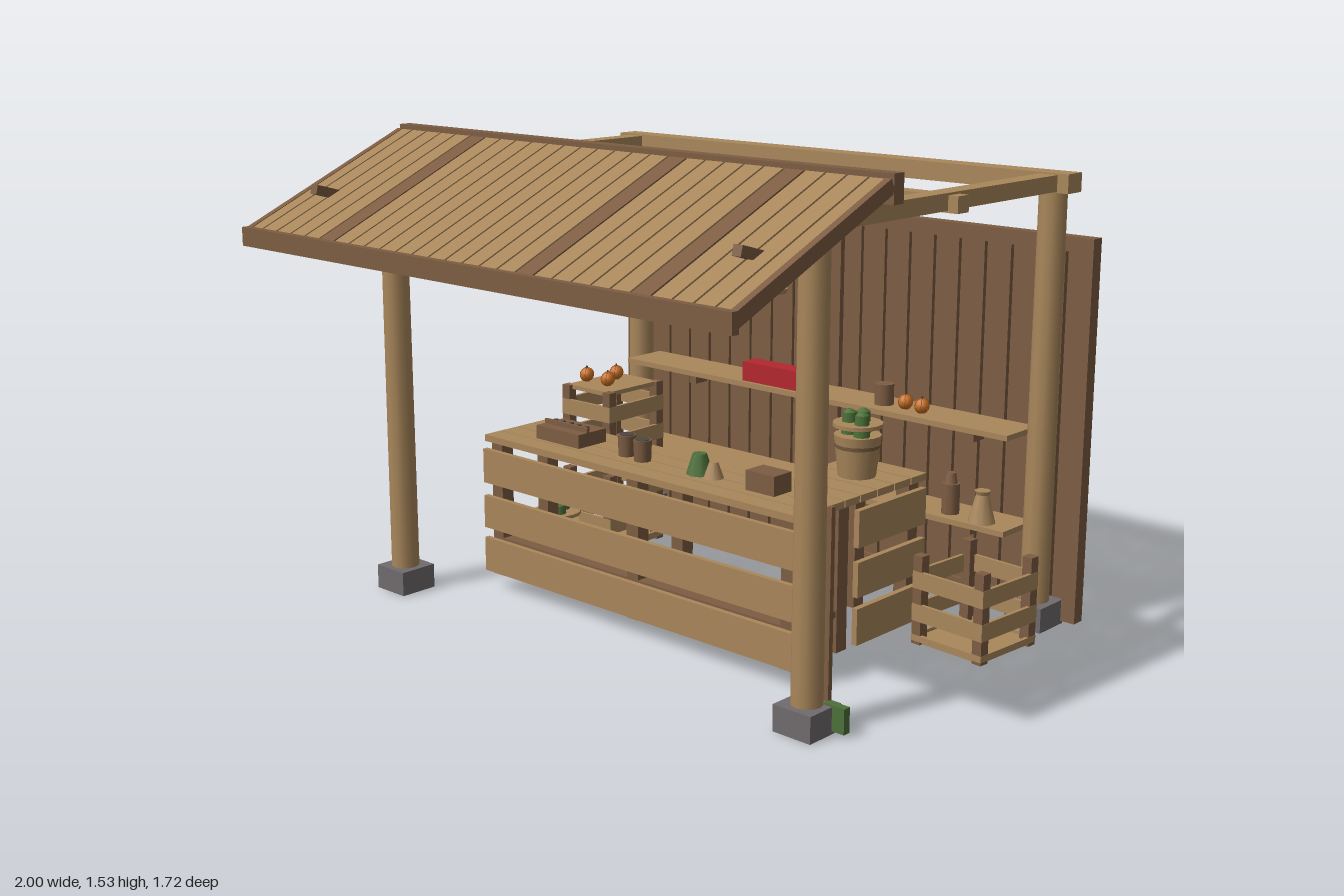
import * as THREE from 'three';

const mat = (name, color) => {
  const m = new THREE.MeshStandardMaterial({ color });
  m.name = name;
  return m;
};

export function createModel() {
  const root = new THREE.Group();
  root.name = 'marketStall';
  const tan = mat('tanWood', 0xa9875b), brown = mat('brownWood', 0x7d5d43), stone = mat('stone', 0x706b6e);
  const cloth = mat('paleCanvas', 0xa6a6a6), red = mat('red', 0xb3282e), orange = mat('orange', 0xc96f22);
  const rust = mat('rustOrange', 0xa9581c), green = mat('leafGreen', 0x4c7038), dark = mat('darkMetal', 0x4f4640);

  const add = (name, geo, m, x, y, z, parent = root) => {
    const mesh = new THREE.Mesh(geo, m);
    mesh.name = name;
    mesh.position.set(x, y, z);
    parent.add(mesh);
    return mesh;
  };
  // box given by its extents on each axis
  const box = (name, m, x0, x1, y0, y1, z0, z1, parent) =>
    add(name, new THREE.BoxGeometry(x1 - x0, y1 - y0, z1 - z0), m, (x0 + x1) / 2, (y0 + y1) / 2, (z0 + z1) / 2, parent);
  // upright tapered cylinder standing on y
  const cyl = (name, m, rTop, rBottom, h, x, y, z, parent, sides = 10) =>
    add(name, new THREE.CylinderGeometry(rTop, rBottom, h, sides), m, x, y + h / 2, z, parent);
  const group = (name, x = 0, y = 0, z = 0, parent = root) => {
    const g = new THREE.Group();
    g.name = name;
    g.position.set(x, y, z);
    parent.add(g);
    return g;
  };

  // Posts on stone footings, joined by beams
  const frame = group('frame');
  for (const s of [-1, 1]) {
    for (const z of [0.375, -0.765]) {
      cyl('post', tan, 0.043, 0.046, 1.32, s * 0.862, 0.06, z, frame, 12);
      box('footing', stone, s * 0.862 - 0.066, s * 0.862 + 0.066, 0, 0.08, z - 0.066, z + 0.066, frame);
    }
    box('sideBeam', tan, s * 0.86 - 0.032, s * 0.86 + 0.032, 1.38, 1.43, -0.8, 0.41, frame);
  }
  box('backBeam', tan, -0.935, 0.93, 1.376, 1.435, -0.81, -0.735, frame);
  box('middleBeam', tan, -0.93, 0.925, 1.374, 1.423, -0.225, -0.172, frame);
  box('frontBeam', tan, -0.93, 0.925, 1.376, 1.432, 0.335, 0.405, frame);

  // Back wall: two plank panels with rails and stiles
  const wall = group('backWall');
  for (const s of [-1, 1]) {
    for (let i = 0; i < 10; i++) {
      const c = s * (0.049 + i * 0.0975);
      box('wallPlank', brown, c - 0.0435, c + 0.0435, 0.02, 1.225, -0.855, -0.835, wall);
    }
    box('wallStile', brown, s * 0.955 - 0.025, s * 0.955 + 0.025, 0.012, 1.235, -0.86, -0.815, wall);
    const e0 = s < 0 ? -0.98 : 0.003, e1 = s < 0 ? -0.003 : 0.98;
    box('topRail', brown, e0, e1, 1.19, 1.237, -0.86, -0.82, wall);
    box('bottomRail', brown, e0, e1, 0.012, 0.06, -0.86, -0.82, wall);
    box('handle', dark, s * 0.88 - 0.008, s * 0.88 + 0.008, 0.6, 0.64, -0.862, -0.85, wall);
  }
  box('centreStile', brown, -0.023, 0.023, 0.012, 1.24, -0.855, -0.815, wall);

  // Sloping awning: local z runs down the slope
  const awning = group('awning', 0, 1.372, 0.535);
  awning.rotation.x = Math.atan2(0.27, 0.62);
  const darkSlats = [5, 17, 23];
  for (let i = 0; i < 28; i++) {
    const c = (i - 13.5) * 0.0712;
    box('roofSlat', darkSlats.includes(i) ? brown : tan, c - 0.032, c + 0.032, -0.008, 0.01, -0.33, 0.33, awning);
  }
  for (const s of [-1, 1]) {
    box('edgeBoard', brown, s * 0.988 - 0.011, s * 0.988 + 0.011, -0.03, 0.012, -0.33, 0.335, awning);
    box('rafter', brown, s * 0.86 - 0.02, s * 0.86 + 0.02, -0.036, -0.008, -0.33, 0.32, awning);
    const strut = box('strut', brown, -0.015, 0.015, -0.015, 0.015, -0.125, 0.125);
    strut.position.set(s * 0.862, 1.332, 0.56);
    strut.rotation.x = -0.28;
  }
  box('purlin', tan, -0.95, 0.95, -0.05, -0.009, 0.145, 0.185, awning);
  box('purlin', brown, -0.95, 0.95, -0.034, -0.009, -0.1, -0.065, awning);
  box('fascia', brown, -1, 1, 1.197, 1.255, 0.83, 0.855);
  box('ridgeBoard', brown, -1, 1, 1.445, 1.527, 0.185, 0.228);
  const roll = cyl('rolledCanvas', cloth, 0.027, 0.027, 1.7, 0, 0, 0, root, 14);
  roll.rotation.z = Math.PI / 2;
  roll.position.set(0, 1.47, 0.255);

  // Hanging sign and herb bunches under the awning
  const sign = group('sign');
  box('signBoard', orange, -0.215, 0.205, 1.165, 1.3, 0.598, 0.612, sign);
  for (const y of [1.155, 1.295]) box('signRail', rust, -0.225, 0.215, y, y + 0.013, 0.594, 0.617, sign);
  for (const x of [-0.225, 0.203]) box('signEdge', rust, x, x + 0.012, 1.155, 1.308, 0.594, 0.617, sign);
  box('signBack', brown, -0.213, 0.203, 1.168, 1.295, 0.592, 0.598, sign);
  for (const x of [-0.47, -0.66]) {
    const herbs = group('herbBunch', x, 1.2, 0.5);
    for (let i = 0; i < 5; i++) {
      const a = i * Math.PI * 0.4;
      cyl('herb', green, 0.011, 0.002, 0.13, Math.cos(a) * 0.014, 0.01 + (i % 2) * 0.02, Math.sin(a) * 0.014, herbs, 6);
    }
    cyl('herbString', brown, 0.004, 0.004, 0.05, 0, 0.13, 0, herbs, 6);
  }

  // L-shaped counter
  const counter = group('counter');
  for (let i = 0; i < 4; i++) {
    const z = -0.102 + i * 0.072, zw = -0.436 + i * 0.0835;
    box('topBoard', tan, -0.667, 0.665, 0.505, 0.527, z, z + 0.068, counter);
    box('wingTopBoard', tan, 0.38, 0.665, 0.505, 0.527, zw, zw + 0.078, counter);
  }
  for (const [y0, y1] of [[0.365, 0.48], [0.21, 0.32], [0.06, 0.175]]) {
    box('frontBoard', tan, -0.668, 0.665, y0, y1, 0.172, 0.19, counter);
    box('wingSideBoard', tan, 0.648, 0.667, y0, y1, -0.435, -0.1, counter);
  }
  const leg = (x, z) => box('counterLeg', brown, x - 0.024, x + 0.024, 0.05, 0.506, z - 0.024, z + 0.024, counter);
  for (const x of [-0.62, 0, 0.62]) for (const z of [0.148, -0.055]) leg(x, z);
  for (const x of [0.42, 0.62]) leg(x, -0.4);
  box('underShelf', brown, -0.64, 0.64, 0.162, 0.182, -0.04, 0.172, counter);
  for (const x of [-0.45, -0.35, 0.2, 0.3]) cyl('storedJar', brown, 0.02, 0.022, 0.04, x, 0.182, 0.04, counter);

  // Goods on the counter
  box('seedTray', brown, -0.507, -0.31, 0.527, 0.572, -0.025, 0.098);
  for (let i = 0; i < 5; i++) cyl('trayPeg', dark, 0.008, 0.008, 0.015, -0.48 + i * 0.036, 0.57, 0.035, root, 8);
  box('trayRim', brown, -0.507, -0.31, 0.572, 0.587, 0.05, 0.06);
  for (const [x, z] of [[-0.145, 0.045], [-0.065, 0.057]]) {
    cyl('cup', brown, 0.03, 0.027, 0.068, x, 0.527, z);
    cyl('cupInside', dark, 0.024, 0.024, 0.003, x, 0.594, z);
  }
  cyl('leafyPlant', green, 0.022, 0.042, 0.065, 0.165, 0.527, 0.045, root, 8);
  cyl('smallHorn', tan, 0.014, 0.032, 0.05, 0.226, 0.527, 0.05);
  box('smallBox', brown, 0.38, 0.49, 0.527, 0.588, 0, 0.08);

  // Buckets of cacti with a plank lid
  const bucket = (x, y, z) => {
    const g = group('cactusBucket', x, y, z);
    cyl('bucket', tan, 0.073, 0.058, 0.13, 0, 0, 0, g, 14);
    cyl('bucketHoop', brown, 0.071, 0.069, 0.012, 0, 0.09, 0, g, 14);
    cyl('lid', tan, 0.077, 0.077, 0.012, 0, 0.155, 0, g, 16);
    for (const [cx, cz] of [[-0.025, 0.01], [0.0, -0.025], [0.03, 0.02]]) {
      cyl('cactus', green, 0.021, 0.026, 0.072, cx, 0.125, cz, g, 8);
      cyl('cactusTip', green, 0.008, 0.021, 0.009, cx, 0.197, cz, g, 8);
    }
    return g;
  };
  bucket(0.525, 0.527, -0.27);
  bucket(-0.742, 0, -0.21).scale.set(1.09, 0.98, 1.09);

  // Slatted crates
  const crate = (x, y, z, w, d, turn) => {
    const g = group('crate', x, y, z);
    g.rotation.y = turn;
    const a = w / 2, b = d / 2;
    for (const sx of [-1, 1]) for (const sz of [-1, 1]) {
      const px = sx * (a - 0.018), pz = sz * (b - 0.018);
      box('cratePost', brown, px - 0.017, px + 0.017, 0, 0.285, pz - 0.017, pz + 0.017, g);
    }
    for (const y0 of [0.01, 0.075, 0.18]) for (const s of [-1, 1]) {
      const h = y0 < 0.05 ? 0.02 : 0.055;
      box('crateSlat', tan, -a, a, y0, y0 + h, s * (b - 0.006) - 0.006, s * (b - 0.006) + 0.006, g);
      box('crateSlat', tan, s * (a - 0.006) - 0.006, s * (a - 0.006) + 0.006, y0, y0 + h, -b, b, g);
    }
    box('crateFloor', tan, -a + 0.01, a - 0.01, 0.002, 0.02, -b + 0.01, b - 0.01, g);
    return g;
  };
  crate(0.822, 0, -0.487, 0.27, 0.27, -0.07);
  crate(-0.715, 0, -0.465, 0.23, 0.28, 0.03);
  crate(-0.715, 0.3, -0.465, 0.23, 0.28, 0.03);
  box('crateLid', tan, -0.815, -0.615, 0.57, 0.585, -0.59, -0.34);

  // Pumpkins
  const pumpkin = (x, y, z) => {
    const p = add('pumpkin', new THREE.SphereGeometry(0.025, 12, 8), orange, x, y, z);
    for (let i = 0; i < 3; i++) {
      const rib = add('pumpkinRib', new THREE.TorusGeometry(0.025, 0.0015, 4, 16), rust, 0, 0, 0, p);
      rib.rotation.y = i * Math.PI / 3;
    }
    cyl('stem', dark, 0.003, 0.004, 0.01, 0, 0.022, 0, p, 6);
  };
  for (const [x, z] of [[-0.742, -0.51], [-0.795, -0.415], [-0.69, -0.415]]) pumpkin(x, 0.61, z);
  for (const [x, z] of [[0.378, -0.715], [0.45, -0.705]]) pumpkin(x, 0.653, z);

  // Wall shelves and their goods
  for (const y of [0.61, 0.3]) {
    box('wallShelf', tan, -0.82, 0.81, y, y + 0.018, -0.82, -0.65);
    for (const x of [-0.6, 0.6]) box('shelfBracket', brown, x - 0.015, x + 0.015, y - 0.06, y, -0.82, -0.76);
  }
  box('redChest', red, -0.28, -0.015, 0.628, 0.695, -0.735, -0.665);
  cyl('shelfJar', brown, 0.033, 0.033, 0.07, 0.285, 0.628, -0.725);
  cyl('vase', tan, 0.02, 0.045, 0.095, 0.7, 0.318, -0.695);
  cyl('vaseRim', tan, 0.026, 0.022, 0.012, 0.7, 0.41, -0.695);
  cyl('bottle', brown, 0.03, 0.03, 0.1, 0.57, 0.318, -0.71);
  cyl('bottleNeck', brown, 0.015, 0.022, 0.035, 0.57, 0.418, -0.71);

  // Hanging balance with a pan and a weight
  const balance = group('balance', 0, 0, -0.053);
  box('balanceArm', brown, 0.11, 0.405, 1.232, 1.25, -0.009, 0.009, balance);
  cyl('balanceCord', dark, 0.004, 0.004, 0.14, 0.255, 1.24, 0, balance, 6);
  cyl('panCord', dark, 0.003, 0.003, 0.13, 0.36, 1.11, 0, balance, 6);
  cyl('pan', tan, 0.048, 0.045, 0.014, 0.36, 1.1, 0, balance, 16);
  cyl('weightCord', dark, 0.003, 0.003, 0.07, 0.165, 1.17, 0, balance, 6);
  add('weight', new THREE.SphereGeometry(0.019, 12, 8), dark, 0.165, 1.166, 0, balance);

  // Broom leaning on the front post
  box('broomStick', brown, 0.882, 0.898, 0.07, 0.635, 0.312, 0.328);
  box('broomHead', green, 0.9, 0.97, 0.01, 0.085, 0.323, 0.348);

  return root;
}
